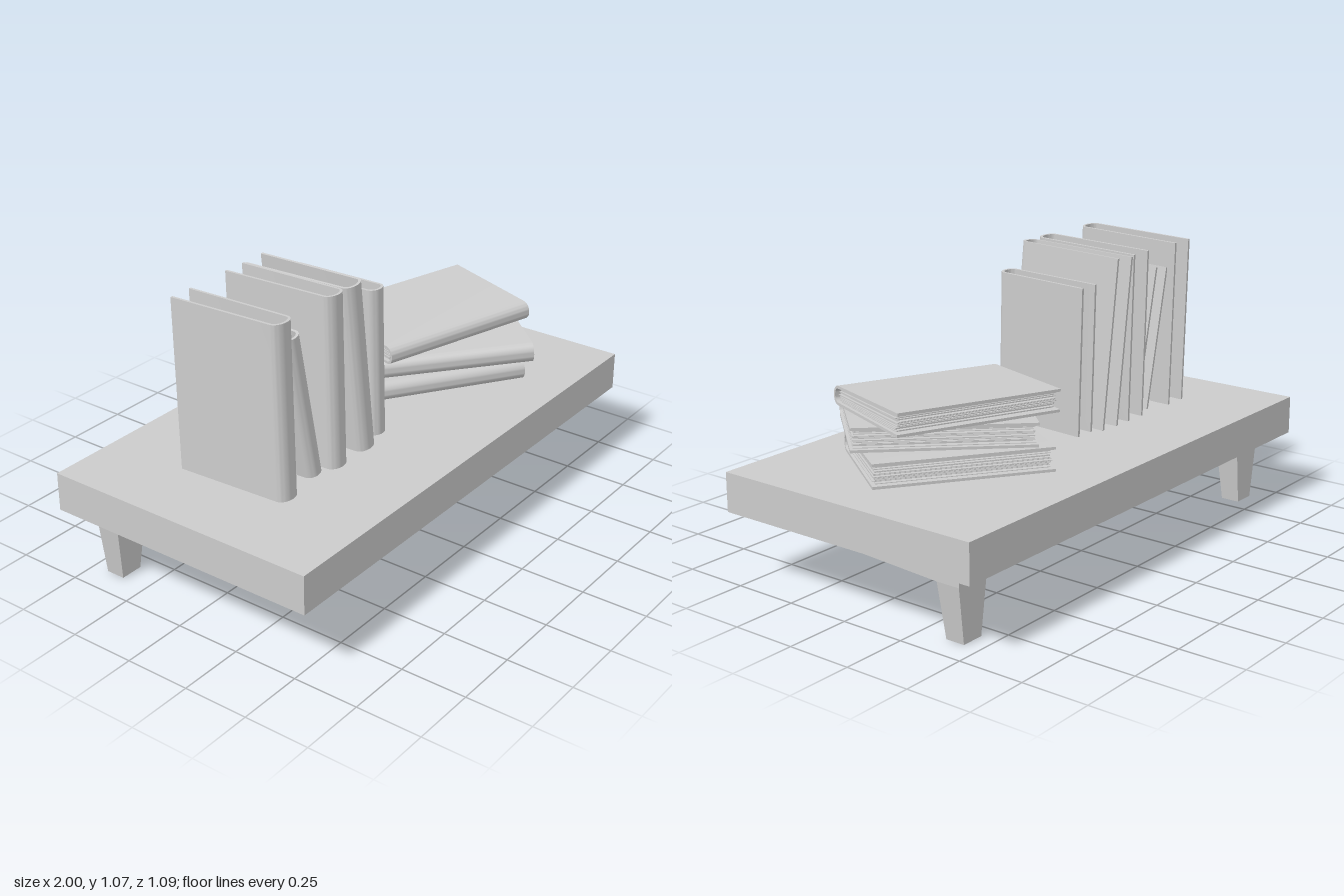
import * as THREE from 'three';
import { toCreasedNormals } from 'three/addons/utils/BufferGeometryUtils.js';

const grey = new THREE.MeshStandardMaterial({ color: 0xcccccc, side: THREE.DoubleSide });

function addMesh(parent, geometry, name, x = 0, y = 0, z = 0) {
  const mesh = new THREE.Mesh(geometry, grey);
  mesh.name = name;
  mesh.position.set(x, y, z);
  parent.add(mesh);
  return mesh;
}

function seeded(seed) {
  let s = seed;
  return () => (s = (s * 16807) % 2147483647) / 2147483647;
}

// U-shaped cover: rounded spine at +z, open at the back, height along y from 0
function coverGeometry(height, depth, spineT, foreT) {
  const t = 0.01, bulge = 0.032, a = spineT / 2, b = foreT / 2;
  const zs = depth / 2 - bulge, zb = -depth / 2;
  const shape = new THREE.Shape();
  shape.moveTo(b, zb);
  shape.lineTo(a, zs);
  shape.absellipse(0, zs, a, bulge, 0, Math.PI, false);
  shape.lineTo(-b, zb);
  shape.lineTo(-b + t, zb);
  shape.lineTo(-a + t, zs);
  shape.absellipse(0, zs, a - t, bulge - t, Math.PI, 0, true);
  shape.lineTo(b - t, zb);
  shape.closePath();
  const geo = new THREE.ExtrudeGeometry(shape, { depth: height, bevelEnabled: false, curveSegments: 8 });
  geo.rotateX(Math.PI / 2).translate(0, height, 0);
  return toCreasedNormals(geo, 0.7);
}

// Loose sheets fanned between the covers, with ragged edges
function addPages(book, height, depth, spineT, foreT, seed) {
  const rand = seeded(seed), count = 16;
  const pages = new THREE.Group();
  pages.name = 'pages';
  for (let i = 0; i < count; i++) {
    const k = (i + 0.5) / count - 0.5;
    const front = depth / 2 - 0.022 - 0.03 * Math.abs(k);
    const back = -depth / 2 + 0.012 + 0.022 * rand();
    const h = height - 0.016 - 0.016 * rand();
    const xFront = k * (spineT - 0.022), xBack = k * (foreT - 0.022);
    const sheet = addMesh(pages, new THREE.BoxGeometry(0.0024, h, front - back), 'page',
      (xFront + xBack) / 2, height / 2 + 0.004 * (rand() - 0.5), (front + back) / 2);
    sheet.rotation.y = Math.atan2(xFront - xBack, front - back);
  }
  book.add(pages);
}

function makeBook(name, height, depth, spineT, foreT) {
  const book = new THREE.Group();
  book.name = name;
  addMesh(book, coverGeometry(height, depth, spineT, foreT), 'bookCover');
  return book;
}

export function createModel() {
  const model = new THREE.Group();
  model.name = 'bookshelf';

  // Shelf board
  addMesh(model, new THREE.BoxGeometry(2, 0.147, 1.09), 'shelfBoard', 0, 0.3385, 0);

  // Brackets: a wedge arm under the board and a tapered leg at the back
  const armShape = new THREE.Shape([[-0.14, 0.266], [-0.18, 0.235], [0.345, 0.207], [0.438, 0.207], [0.44, 0.266]]
    .map(([x, y]) => new THREE.Vector2(x, y)));
  const armGeo = new THREE.ExtrudeGeometry(armShape, { depth: 0.14, bevelEnabled: false });
  armGeo.translate(0, 0, -0.07).rotateY(Math.PI / 2);
  const legGeo = new THREE.BoxGeometry(0.14, 0.207, 0.093);
  const p = legGeo.attributes.position;
  for (let i = 0; i < p.count; i++) {
    if (p.getY(i) < 0) p.setXYZ(i, p.getX(i) * 0.63, p.getY(i), p.getZ(i) * 0.8 - 0.006);
  }
  legGeo.computeVertexNormals();
  for (const side of [-1, 1]) {
    const bracket = new THREE.Group();
    bracket.name = side > 0 ? 'leftBracket' : 'rightBracket';
    bracket.position.x = side * 0.855;
    addMesh(bracket, armGeo, 'bracketArm');
    addMesh(bracket, legGeo, 'bracketLeg', 0, 0.1035, -0.3915);
    model.add(bracket);
  }

  // Standing books: x at the base, lean, height, depth, thickness
  const standing = [
    [-0.665, -0.012, 0.646, 0.455, 0.094],
    [-0.48, 0.165, 0.56, 0.39, 0.074],
    [-0.386, -0.012, 0.646, 0.455, 0.092],
    [-0.22, 0.084, 0.646, 0.455, 0.09],
    [-0.105, -0.01, 0.562, 0.39, 0.08],
  ];
  for (const [x, lean, h, d, t] of standing) {
    const book = makeBook('standingBook', h, d, t, t + 0.008);
    book.position.set(x, 0.418, 0.008);
    book.rotation.set(-0.03, 0, lean);
    model.add(book);
  }

  // Stacked books: centre, turn, rise along the spine, pitch, spine and fore edge thickness
  const stacked = [
    [0.4375, 0.456, 0.015, 34.6, 0.004, 0.01, 0.074, 0.09],
    [0.4375, 0.557, 0.065, 41.9, 0.026, 0.006, 0.076, 0.088],
    [0.44, 0.647, 0.015, 18.9, 0.03, 0.0, 0.07, 0.084],
  ];
  const H = 0.648, D = 0.452;
  stacked.forEach(([x, y, z, turn, rise, pitch, ts, tf], i) => {
    const book = makeBook('lyingBook', H, D, ts, tf);
    addPages(book, H, D, ts, tf, 101 + i * 37);
    book.rotation.z = -Math.PI / 2;
    book.position.x = -H / 2;
    const holder = new THREE.Group();
    holder.name = 'stackedBook';
    holder.rotation.set(pitch, -turn * Math.PI / 180, rise, 'YXZ');
    holder.position.set(x, y, z);
    holder.add(book);
    model.add(holder);
  });

  return model;
}
